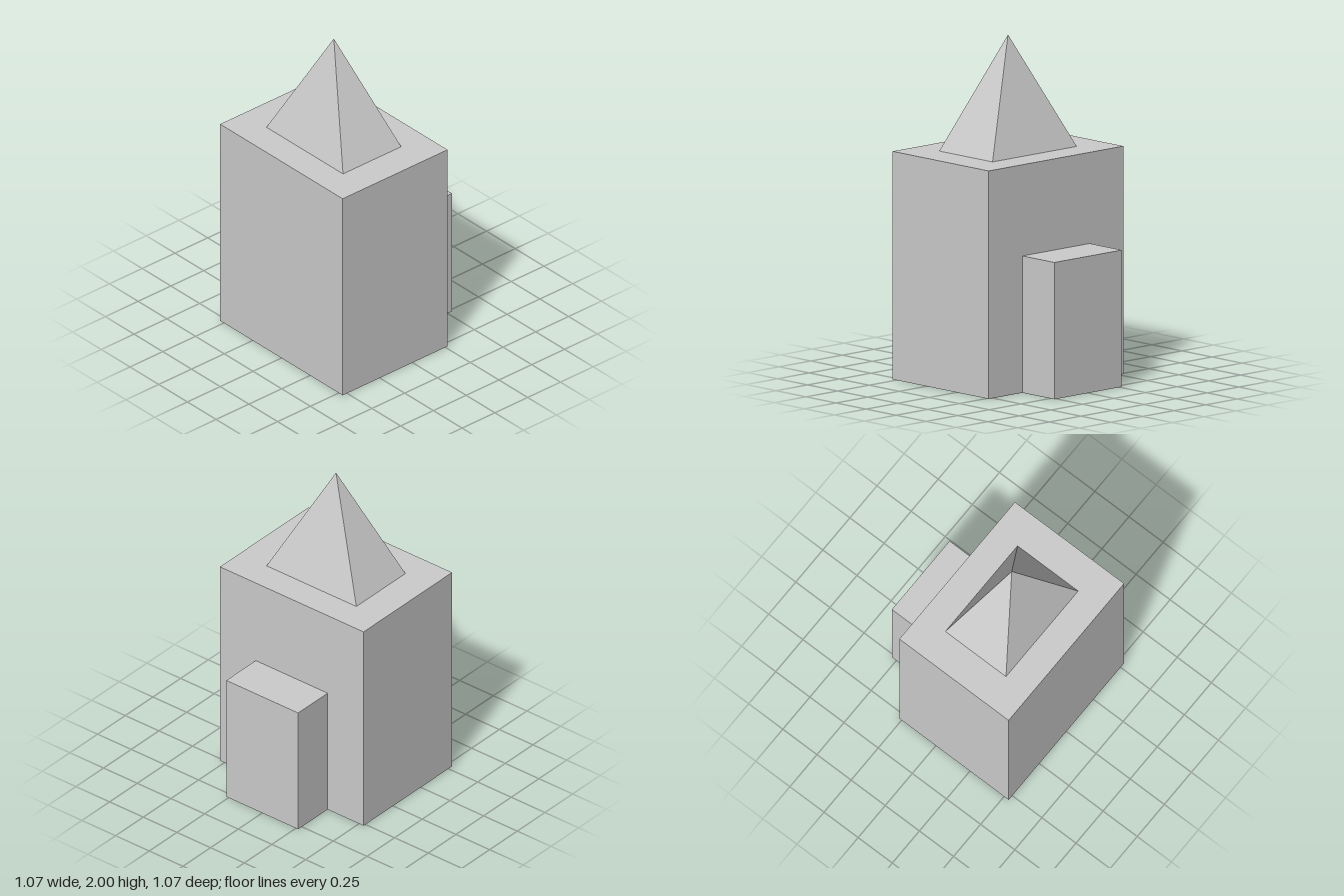
import * as THREE from 'three';

export function createModel() {
  const model = new THREE.Group();
  const material = new THREE.MeshStandardMaterial({ color: 0xcccccc, flatShading: true });

  const add = (name, geometry, x, y, z) => {
    const mesh = new THREE.Mesh(geometry, material);
    mesh.name = name;
    mesh.position.set(x, y, z);
    model.add(mesh);
  };

  const bodyHeight = 4 / 3, bodyZ = 0.4 / 3;

  // Main block
  add('body', new THREE.BoxGeometry(3.2 / 3, bodyHeight, 0.8), 0, bodyHeight / 2, bodyZ);

  // Lower block against the back wall
  add('rearAnnex', new THREE.BoxGeometry(1.6 / 3, 0.8, 0.8 / 3), 0, 0.4, -0.4);

  // Four-sided spire: unit pyramid stretched to a rectangular base
  const spireHeight = 2 / 3;
  const spire = new THREE.ConeGeometry(Math.SQRT1_2, 1, 4)
    .rotateY(Math.PI / 4)
    .scale(2 / 3, spireHeight, 0.444);
  add('spire', spire, 0, bodyHeight + spireHeight / 2, bodyZ);

  return model;
}
